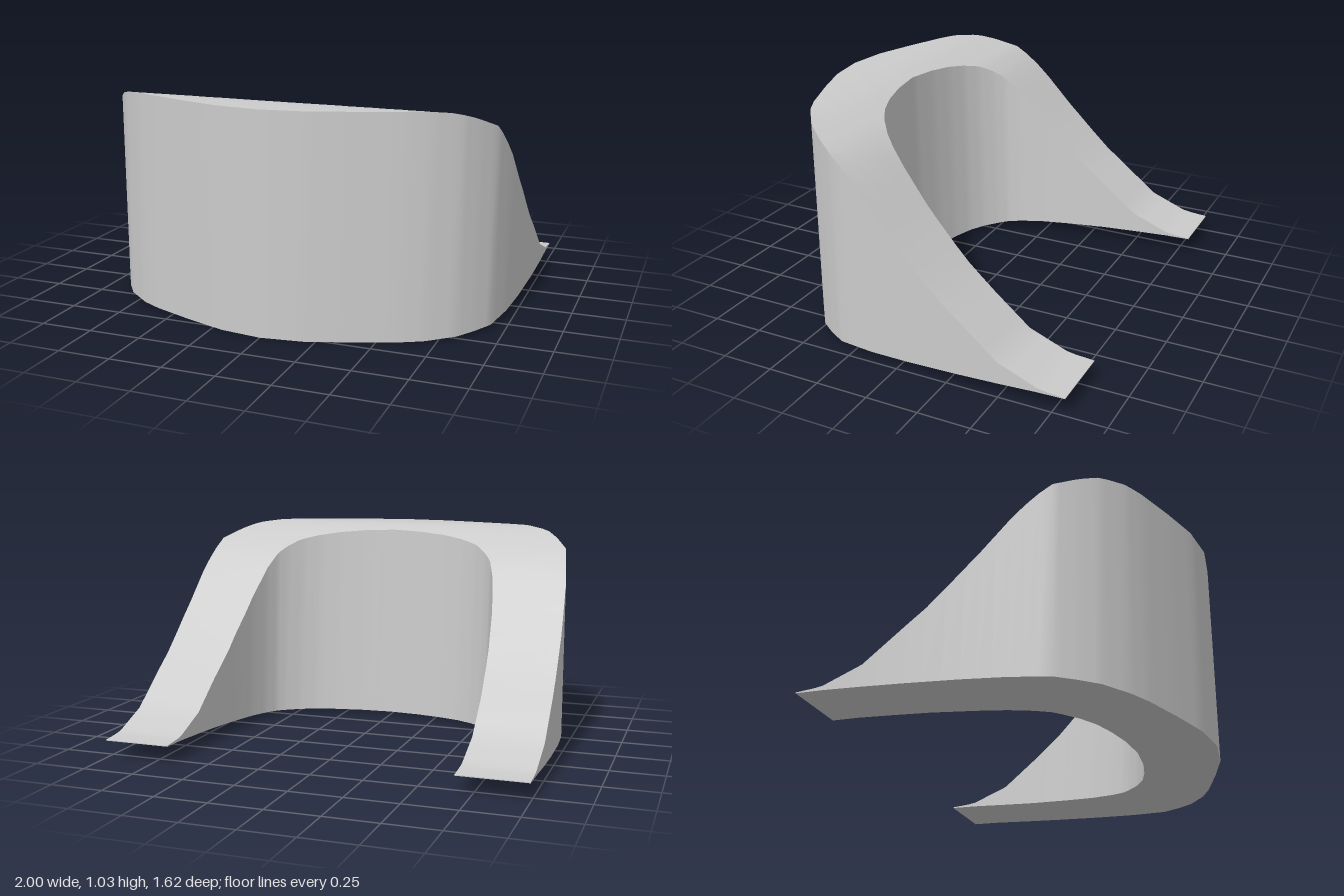
import * as THREE from 'three';
import { toCreasedNormals } from 'three/addons/utils/BufferGeometryUtils.js';

// Stations from the front centre to the tip of one arm:
// outer wall (x, z), inner wall top edge (x, z), inner wall bottom edge (x, z)
const STATIONS = [
  [0, 0.805, 0, 0.47, 0, 0.43],
  [0.2, 0.78, 0.16, 0.452, 0.16, 0.415],
  [0.4, 0.715, 0.29, 0.425, 0.29, 0.385],
  [0.6, 0.64, 0.39, 0.39, 0.39, 0.35],
  [0.7, 0.59, 0.47, 0.345, 0.47, 0.3],
  [0.82, 0.5, 0.535, 0.29, 0.535, 0.24],
  [0.88, 0.42, 0.575, 0.24, 0.57, 0.2],
  [0.935, 0.33, 0.605, 0.17, 0.6, 0.13],
  [0.968, 0.15, 0.635, 0.04, 0.63, 0.02],
  [0.985, -0.05, 0.657, -0.12, 0.65, -0.12],
  [0.996, -0.3, 0.673, -0.33, 0.67, -0.33],
  [1, -0.5, 0.677, -0.5, 0.675, -0.5],
  [1, -0.68, 0.677, -0.68, 0.677, -0.68],
  [1, -0.81, 0.677, -0.81, 0.677, -0.81],
];

// Height profiles along depth (z, y)
const TOP = [[-0.81, 0.086], [-0.69, 0.095], [-0.5, 0.17], [-0.2, 0.41], [0, 0.61],
  [0.18, 0.81], [0.25, 0.88], [0.33, 0.938], [0.45, 0.99], [0.53, 1.018], [0.6, 1.03], [0.81, 1.03]];
const BOTTOM = [[-0.81, 0.082], [-0.68, 0.078], [0.6, 0.003], [0.81, 0]];

const lerp = THREE.MathUtils.lerp;

function heightAt(profile, z) {
  for (let i = 1; i < profile.length; i++) {
    const [z0, y0] = profile[i - 1], [z1, y1] = profile[i];
    if (z <= z1) return lerp(y0, y1, (z - z0) / (z1 - z0));
  }
  return profile[profile.length - 1][1];
}

function bandGeometry() {
  // Mirror the stations, then subdivide them
  const full = [...STATIONS.slice(1).reverse().map(([a, b, c, d, e, f]) => [-a, b, -c, d, -e, f]), ...STATIONS];
  const path = [];
  const STEPS = 3, ACROSS = 6;
  for (let i = 0; i < full.length - 1; i++)
    for (let s = 0; s < STEPS; s++) path.push(full[i].map((v, k) => lerp(v, full[i + 1][k], s / STEPS)));
  path.push(full[full.length - 1]);

  // Cross-section loop: underside outward to inward, then top surface back out
  const ring = 2 * (ACROSS + 1), positions = [], index = [];
  for (const [ox, oz, tx, tz, bx, bz] of path) {
    for (let k = 0; k <= ACROSS; k++) {
      const z = lerp(oz, bz, k / ACROSS);
      positions.push(lerp(ox, bx, k / ACROSS), heightAt(BOTTOM, z), z);
    }
    for (let k = ACROSS; k >= 0; k--) {
      const z = lerp(oz, tz, k / ACROSS);
      positions.push(lerp(ox, tx, k / ACROSS), heightAt(TOP, z), z);
    }
  }
  for (let i = 0; i < path.length - 1; i++) {
    for (let j = 0; j < ring; j++) {
      const a = i * ring + j, d = i * ring + (j + 1) % ring;
      index.push(a, d, a + ring, a + ring, d, d + ring);
    }
  }
  // Thin end faces at the arm tips
  const last = (path.length - 1) * ring;
  for (let k = 0; k < ACROSS; k++) {
    const b = k, b2 = k + 1, t = ring - 1 - k, t2 = ring - 2 - k;
    index.push(b, t2, b2, b, t, t2);
    index.push(last + b, last + b2, last + t2, last + b, last + t2, last + t);
  }
  const geometry = new THREE.BufferGeometry();
  geometry.setAttribute('position', new THREE.Float32BufferAttribute(positions, 3));
  geometry.setIndex(index);
  return toCreasedNormals(geometry, THREE.MathUtils.degToRad(32));
}

export function createModel() {
  const model = new THREE.Group();
  model.name = 'curvedBand';
  const band = new THREE.Mesh(bandGeometry(), new THREE.MeshStandardMaterial({ color: 0xcccccc }));
  band.name = 'slopedBand';
  model.add(band);
  return model;
}
